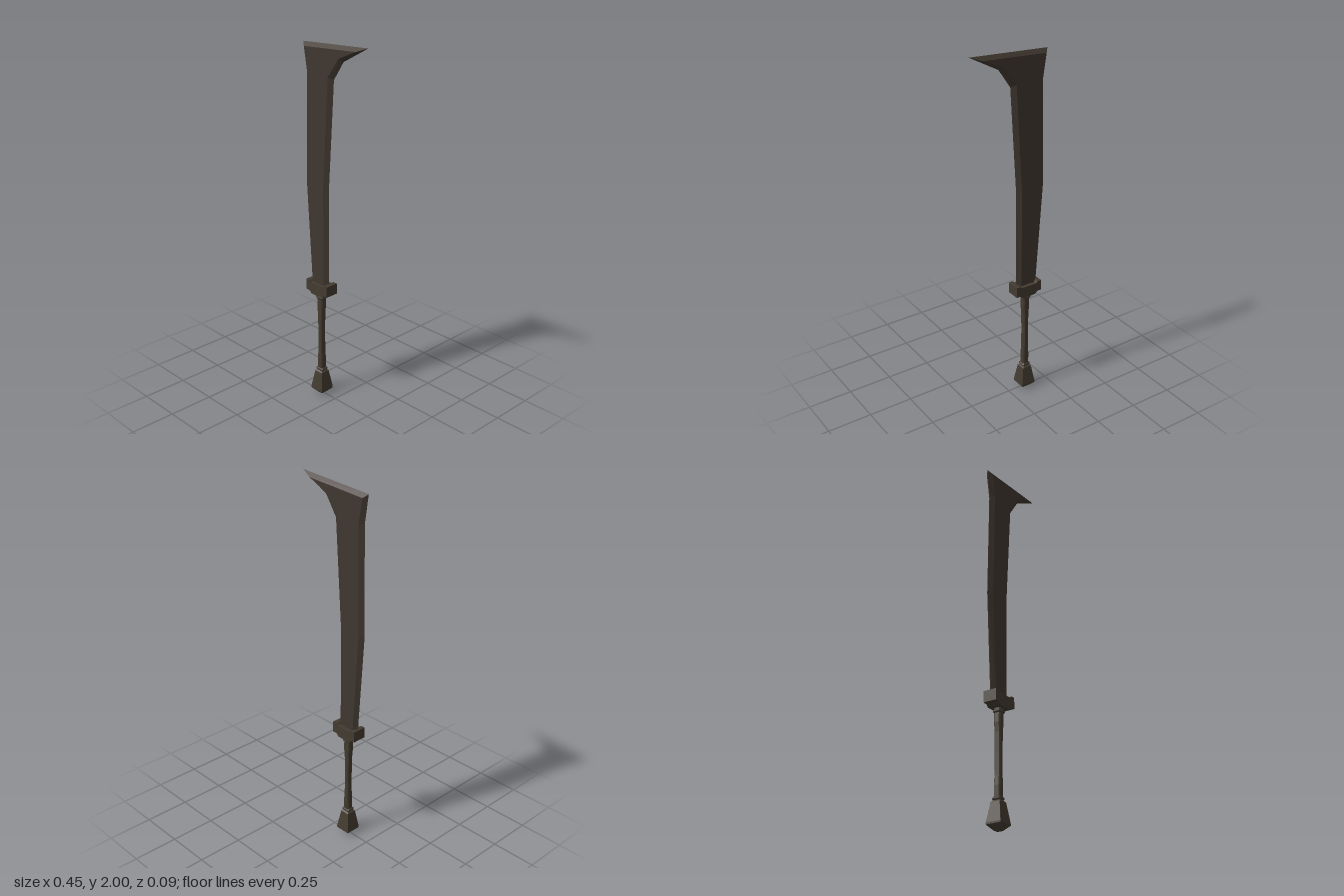
import * as THREE from 'three';

const bladeMat = new THREE.MeshStandardMaterial({ name: 'darkSteel', color: 0x40372f });
const hiltMat = new THREE.MeshStandardMaterial({ name: 'darkBronze', color: 0x433b30 });
const AXIS_X = -0.106;

// Flat-shaded solid through counter-clockwise outlines [x, y], stacked along z and capped
function loft(sections) {
  const out = [];
  const rings = sections.map(({ points, z }) => points.map(([x, y]) => [x, y, z]));
  const tri = (a, b, c) => out.push(...a, ...b, ...c);
  for (let k = 0; k < rings.length - 1; k++) {
    const lo = rings[k], hi = rings[k + 1], n = lo.length;
    for (let i = 0; i < n; i++) {
      const j = (i + 1) % n;
      tri(lo[i], lo[j], hi[j]);
      tri(lo[i], hi[j], hi[i]);
    }
  }
  const cap = (ring, flip) => {
    const flat = ring.map(([x, y]) => new THREE.Vector2(x, y));
    for (const [a, b, c] of THREE.ShapeUtils.triangulateShape(flat, [])) {
      if (flip) tri(ring[c], ring[b], ring[a]);
      else tri(ring[a], ring[b], ring[c]);
    }
  };
  cap(rings[0], true);
  cap(rings[rings.length - 1], false);
  const geo = new THREE.BufferGeometry();
  geo.setAttribute('position', new THREE.Float32BufferAttribute(out, 3));
  geo.computeVertexNormals();
  return geo;
}

// Rectangle with cut corners
function chamfered(hx, hz, c) {
  return [[hx, -hz + c], [hx, hz - c], [hx - c, hz], [-hx + c, hz],
    [-hx, hz - c], [-hx, -hz + c], [-hx + c, -hz], [hx - c, -hz]];
}

// Upright column from levels [y, half width, half depth, corner cut]
function column(levels) {
  const geo = loft(levels.map(([y, hx, hz, c]) => ({ points: chamfered(hx, hz, c), z: y })));
  return geo.rotateX(-Math.PI / 2).translate(AXIS_X, 0, 0);
}

export function createModel() {
  const group = new THREE.Group();
  const add = (name, geo, mat) => {
    const mesh = new THREE.Mesh(geo, mat);
    mesh.name = name;
    group.add(mesh);
  };

  // Blade: sharp outer outline at z = 0, flat faces inset on both sides
  const edge = [[-0.173, 0.65], [-0.045, 0.65], [-0.045, 1.235], [-0.008, 1.81],
    [0.06, 1.91], [0.225, 2.0], [-0.227, 1.972], [-0.204, 1.82], [-0.214, 1.235]];
  const face = [[-0.153, 0.65], [-0.069, 0.65], [-0.069, 1.235], [-0.033, 1.822],
    [0.043, 1.925], [0.16, 1.976], [-0.205, 1.952], [-0.181, 1.82], [-0.19, 1.235]];
  add('blade', loft([{ points: face, z: -0.019 }, { points: edge, z: 0 }, { points: face, z: 0.019 }]), bladeMat);

  // Guard: end blocks slightly raised, stepped underside
  const half = [[0.04, 0.615], [0.055, 0.63], [0.08, 0.63], [0.08, 0.69], [0.055, 0.69], [0.047, 0.68]];
  const outline = [...half, ...half.map(([x, y]) => [-x, y]).reverse()];
  add('guard', loft([-0.038, 0.038].map((z) => ({ points: outline, z }))).translate(AXIS_X, 0, 0), hiltMat);

  // Grip, waisted in the middle
  add('grip', column([
    [0.14, 0.018, 0.018, 0.006], [0.22, 0.018, 0.019, 0.006], [0.27, 0.015, 0.017, 0.005],
    [0.38, 0.014, 0.017, 0.005], [0.49, 0.016, 0.017, 0.005], [0.54, 0.02, 0.019, 0.006],
    [0.62, 0.019, 0.019, 0.006],
  ]), hiltMat);

  // Collars at both ends of the grip
  for (const [name, y] of [['upperCollar', 0.598], ['lowerCollar', 0.154]]) {
    add(name, column([[y - 0.009, 0.019, 0.019, 0.005], [y - 0.003, 0.025, 0.023, 0.006],
      [y + 0.003, 0.025, 0.023, 0.006], [y + 0.009, 0.019, 0.019, 0.005]]), hiltMat);
  }

  // Pommel: flared square block with a tapered foot
  add('pommel', column([[0, 0.016, 0.016, 0.001], [0.027, 0.043, 0.043, 0.001],
    [0.036, 0.043, 0.043, 0.001], [0.138, 0.027, 0.027, 0.001], [0.146, 0.019, 0.019, 0.001]]), hiltMat);

  return group;
}
